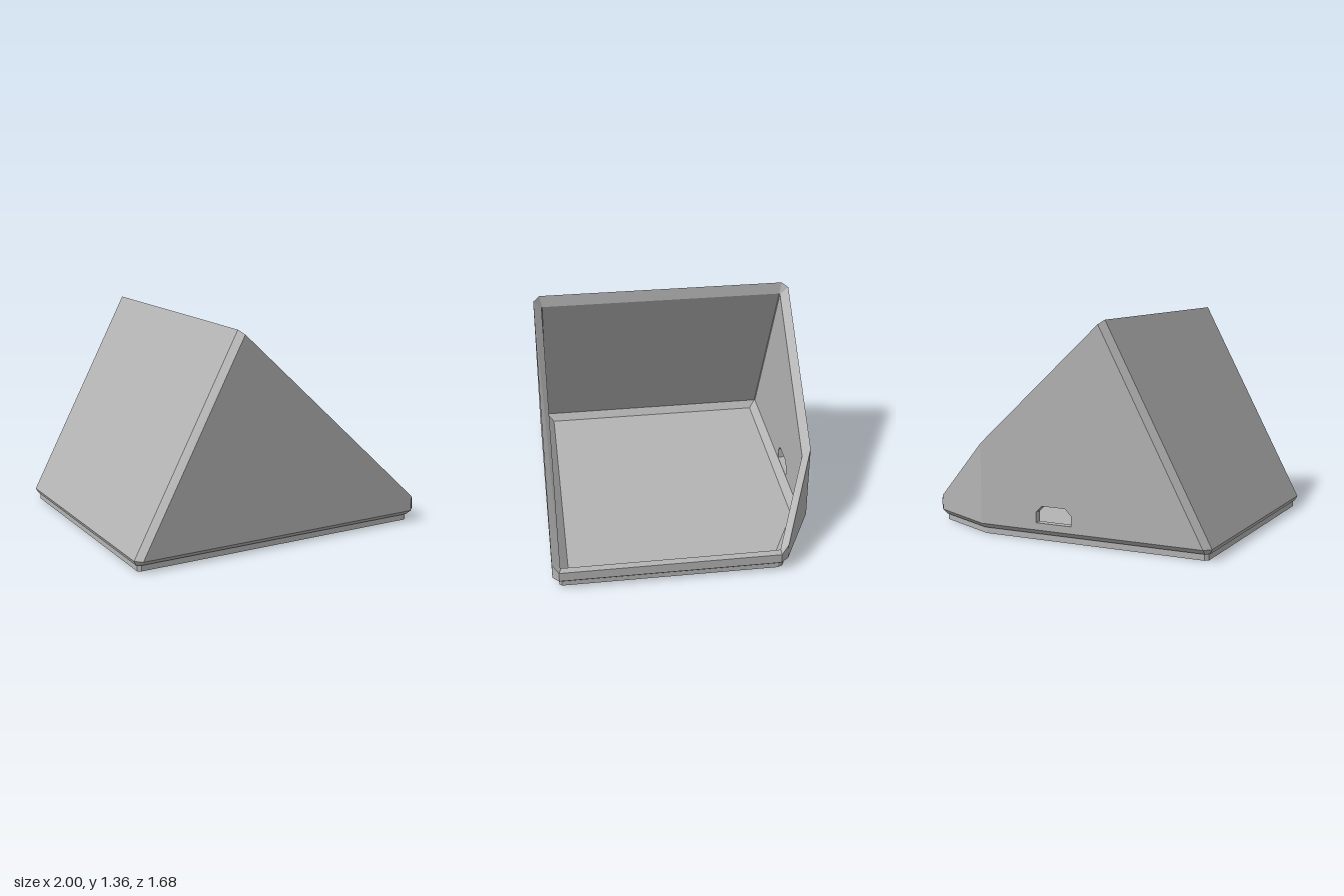
import * as THREE from 'three';

const grey = new THREE.MeshStandardMaterial({ color: 0xb4b4b4 });
grey.name = 'plain grey';

const SLOPE = 0.928, LEAN = 0.68 / 1.285;           // open face slope, leaning wall
const planeY = (x, drop) => 1.355 - drop - SLOPE * (x + 0.32);
const BACK = 6;                                     // outline edge that holds the cable hole

// Plan outlines [x, z], counter-clockwise from above, starting at the left front corner
const OUTER = [[-1, 0.8], [-0.96, 0.84], [0.96, 0.84], [1, 0.8], [1, -0.57], [0.96, -0.62], [0.52, -0.84], [-0.96, -0.84], [-1, -0.8]];
const LIP = [[-0.985, 0.79], [-0.96, 0.81], [0.945, 0.81], [0.965, 0.79], [0.965, -0.56], [0.945, -0.6], [0.515, -0.81], [-0.96, -0.81], [-0.985, -0.79]];
const BASE = [[-0.975, 0.785], [-0.955, 0.8], [0.94, 0.8], [0.955, 0.785], [0.955, -0.56], [0.94, -0.59], [0.51, -0.8], [-0.955, -0.8], [-0.975, -0.785]];
const INNER = [[-0.93, 0.785], [-0.925, 0.79], [0.945, 0.79], [0.95, 0.785], [0.95, -0.56], [0.94, -0.574], [0.508, -0.79], [-0.925, -0.79], [-0.93, -0.785]];
const FLOOR = [[-0.9, 0.74], [-0.9, 0.74], [0.9, 0.74], [0.9, 0.74], [0.9, -0.54], [0.895, -0.55], [0.495, -0.745], [-0.9, -0.745], [-0.9, -0.745]];

const level = (outline, y) => outline.map(([x, z]) => new THREE.Vector3(x, y, z));

// Carry a ring up to the slanted opening: left points lean, the others rise straight
function raise(ring, drop, minY = 0) {
  return ring.map((p) => {
    if (p.x > 0) return new THREE.Vector3(p.x, Math.max(minY, planeY(p.x, drop)), p.z);
    const t = (planeY(p.x, drop) - p.y) / (1 + SLOPE * LEAN);
    return new THREE.Vector3(p.x + LEAN * t, p.y + t, p.z);
  });
}

// Flat-faced bands between successive rings
function loft(rings, skip = -1) {
  const pos = [];
  const tri = (a, b, c) => {
    if (new THREE.Triangle(a, b, c).getArea() > 1e-7) for (const p of [a, b, c]) pos.push(p.x, p.y, p.z);
  };
  for (let k = 0; k < rings.length - 1; k++) {
    const lo = rings[k], hi = rings[k + 1], n = lo.length;
    for (let i = 0; i < n; i++) {
      if (i === skip) continue;
      const j = (i + 1) % n;
      tri(lo[i], lo[j], hi[j]);
      tri(lo[i], hi[j], hi[i]);
    }
  }
  const g = new THREE.BufferGeometry();
  g.setAttribute('position', new THREE.Float32BufferAttribute(pos, 3));
  g.computeVertexNormals();
  return g;
}

// Turn a geometry inside out
function flip(g) {
  g.setIndex(Array.from(g.index.array).reverse());
  g.computeVertexNormals();
  return g;
}

function flatPanel(points, holes = []) {
  const shape = new THREE.Shape(points);
  shape.holes.push(...holes);
  return new THREE.ShapeGeometry(shape, 32);
}

const planPoints = (outline) => outline
  .filter((p, i) => i === 0 || p[0] !== outline[i - 1][0] || p[1] !== outline[i - 1][1])
  .map(([x, z]) => new THREE.Vector2(x, -z));

export function createModel() {
  const model = new THREE.Group();
  model.name = 'wedgeStand';
  const add = (name, geometry) => {
    const mesh = new THREE.Mesh(geometry, grey);
    mesh.name = name;
    model.add(mesh);
    return mesh;
  };

  const outerLow = level(OUTER, 0.07), outerTop = raise(outerLow, 0);
  const innerLow = level(INNER, 0.11), innerTop = raise(innerLow, 0.068, 0.129);

  // Base plinth, bevelled lip, walls, inward rim bevel and floor bevel
  add('basePlinth', loft([level(BASE, 0), level(BASE, 0.04), level(LIP, 0.04), outerLow]));
  add('outerWalls', loft([outerLow, outerTop], BACK));
  add('rimBevel', loft([outerTop, innerTop]));
  add('innerWalls', loft([innerTop, innerLow], BACK));
  add('floorBevel', loft([innerLow, level(FLOOR, 0.06)]));
  add('floor', flatPanel(planPoints(FLOOR)).rotateX(-Math.PI / 2)).position.y = 0.06;

  // Back wall with a cable hole through both faces
  const hole = [[-0.11, 0.115], [0.13, 0.115], [0.13, 0.18], [0.09, 0.22], [-0.07, 0.22], [-0.11, 0.18]];
  const holePath = () => new THREE.Path(hole.map(([x, y]) => new THREE.Vector2(x, y)));
  const backPanel = (low, top) => flatPanel(
    [low[BACK + 1], low[BACK], top[BACK], top[BACK + 1]].map((p) => new THREE.Vector2(p.x, p.y)), [holePath()]);
  add('backWallOutside', flip(backPanel(outerLow, outerTop))).position.z = -0.84;
  add('backWallInside', backPanel(innerLow, innerTop)).position.z = -0.79;
  add('cableHole', loft([-0.79, -0.84].map((z) => hole.map(([x, y]) => new THREE.Vector3(x, y, z)))));

  // Underside with four shallow round recesses for feet
  const feet = [[-0.88, 0.7], [-0.88, -0.7], [0.84, 0.7], [0.83, -0.46]], R = 0.08, DEPTH = 0.015;
  const rounds = feet.map(([x, z]) => new THREE.Path().absarc(x, -z, R, 0, Math.PI * 2, true));
  add('underside', flip(flatPanel(planPoints(BASE), rounds).rotateX(-Math.PI / 2)));
  for (const [x, z] of feet) {
    add('footRecessWall', flip(new THREE.CylinderGeometry(R, R, DEPTH, 32, 1, true))).position.set(x, DEPTH / 2, z);
    add('footRecessTop', new THREE.CircleGeometry(R, 32).rotateX(Math.PI / 2)).position.set(x, DEPTH, z);
  }
  return model;
}
